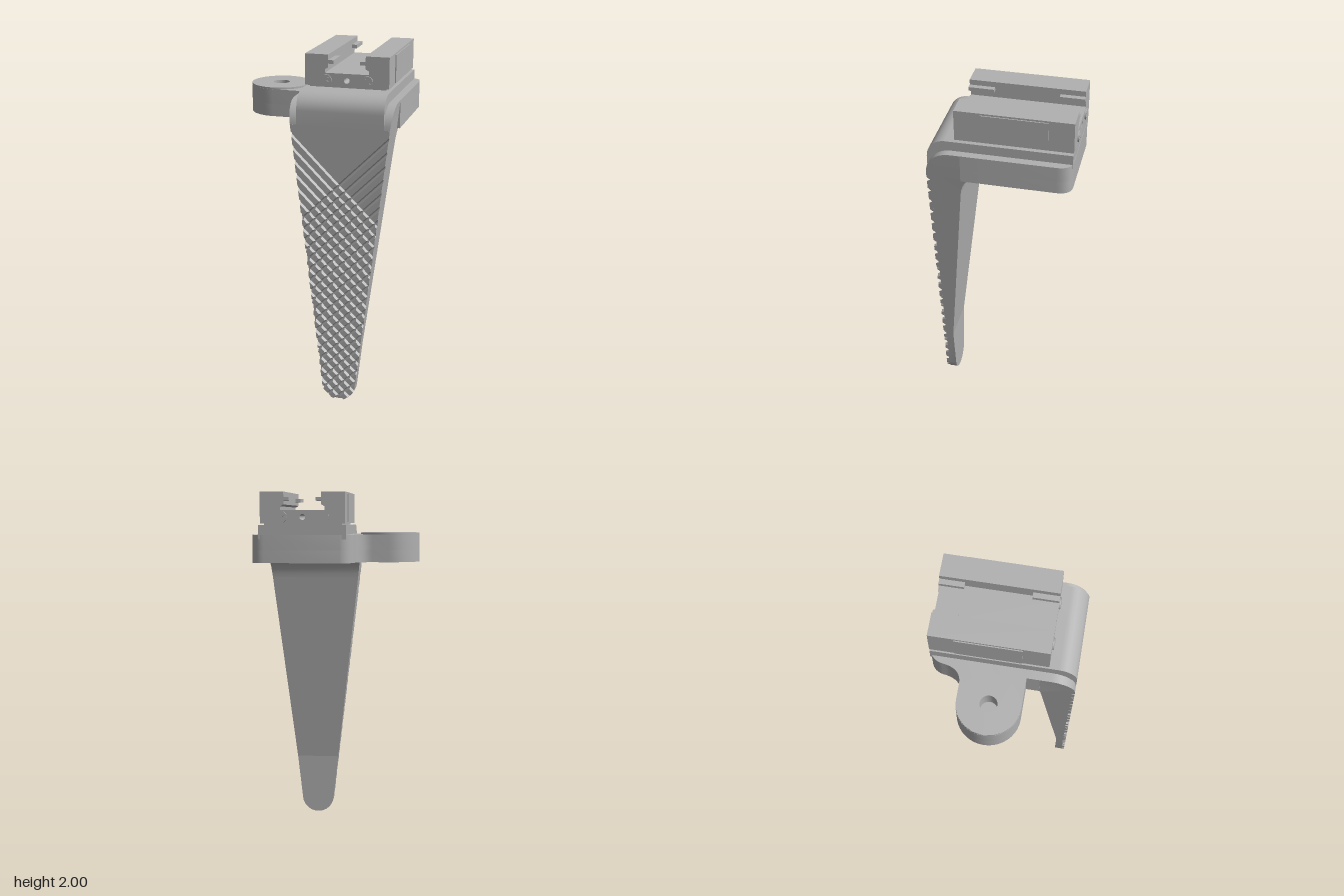
import * as THREE from 'three';
import { mergeGeometries, toCreasedNormals } from 'three/addons/utils/BufferGeometryUtils.js';
import { ConvexGeometry } from 'three/addons/geometries/ConvexGeometry.js';

const CX = 0.175; // centre line of the leg and rail
const grey = new THREE.MeshStandardMaterial({ color: 0xb0b0b0 });
grey.name = 'grey';

const half = (y) => Math.min(0.29, 0.095 + (y - 0.07) * 0.116); // taper of the leg
const shapeOf = (pts) => new THREE.Shape(pts.map(([x, y]) => new THREE.Vector2(x, y)));
const circle = (x, y, r) => new THREE.Path().absarc(x, y, r, 0, Math.PI * 2, true);
const extrude = (shape, depth) =>
  new THREE.ExtrudeGeometry(shape, { depth, bevelEnabled: false, curveSegments: 10 });

// Side profile given as [z, y], swept across x
const sideSweep = (pts, x0, x1) =>
  extrude(shapeOf(pts.map(([z, y]) => [-z, y])), x1 - x0).rotateY(Math.PI / 2).translate(x0, 0, 0);
// Plan shape drawn as (x, -z), raised from y0 to y1
const planSlab = (shape, y0, y1) => extrude(shape, y1 - y0).rotateX(-Math.PI / 2).translate(0, y0, 0);

function reshape(geometry, rule) {
  const p = geometry.attributes.position;
  for (let i = 0; i < p.count; i++) p.setXYZ(i, ...rule(p.getX(i), p.getY(i), p.getZ(i)));
  return geometry;
}

// Quarter round from the front face to a flat top, as [z, y]
function frontRound(z, y, r) {
  return Array.from({ length: 9 }, (_, i) => {
    const a = (i / 8) * Math.PI / 2;
    return [z - r + r * Math.cos(a), y - r + r * Math.sin(a)];
  });
}

// Symmetric front outline of the leg from its right-hand edge points
const mirrored = (right) => [
  ...right.map(([h, y]) => [CX + h, y]),
  ...right.slice().reverse().filter(([h]) => h > 0).map(([h, y]) => [CX - h, y]),
];
const tip = Array.from({ length: 9 }, (_, i) => {
  const t = (i / 8) * 1.455;
  return [0.098 * Math.sin(t), 0.098 * (1 - Math.cos(t))];
});

// Keep the part of a convex polygon where f >= 0
function clip(poly, f) {
  const out = [];
  poly.forEach((a, i) => {
    const b = poly[(i + 1) % poly.length], fa = f(a), fb = f(b);
    if (fa >= 0) out.push(a);
    if (fa * fb < 0) {
      const t = fa / (fa - fb);
      out.push([a[0] + (b[0] - a[0]) * t, a[1] + (b[1] - a[1]) * t]);
    }
  });
  return out;
}
const area = (p) => Math.abs(p.reduce((s, a, i) => {
  const b = p[(i + 1) % p.length];
  return s + a[0] * b[1] - a[1] * b[0];
}, 0)) / 2;

// Raised pads between two crossing sets of diagonal V grooves
function gripPads() {
  const outline = mirrored([...tip, [half(1.64), 1.64]]);
  const pitch = 0.068, pads = [];
  const cell = (i, j, gap) => {
    let poly = outline;
    [[i, 1], [j, -1]].forEach(([k, dir]) => {
      const f = ([x, y]) => y - 1.315 + dir * (x - CX);
      poly = clip(poly, (p) => f(p) + k * pitch - gap);
      if (k > 0) poly = clip(poly, (p) => -f(p) - (k - 1) * pitch - gap);
    });
    return poly;
  };
  for (let i = 0; i < 24; i++) {
    for (let j = 0; j < 24; j++) {
      const top = cell(i, j, 0.013);
      if (top.length < 3 || area(top) < 1e-4) continue;
      const base = cell(i, j, 0.002);
      pads.push(new ConvexGeometry([
        ...base.map(([x, y]) => new THREE.Vector3(x, y, 0.372)),
        ...top.map(([x, y]) => new THREE.Vector3(x, y, 0.391)),
      ]));
    }
  }
  return mergeGeometries(pads);
}

// Plan of the deck with its round side lobe
function deckShape() {
  const s = new THREE.Shape();
  s.moveTo(-0.115, -0.2);
  s.lineTo(0.465, -0.2);
  s.lineTo(0.465, 0.31);
  s.quadraticCurveTo(0.465, 0.39, 0.39, 0.39);
  s.lineTo(-0.03, 0.39);
  s.quadraticCurveTo(-0.09, 0.38, -0.102, 0.32);
  s.quadraticCurveTo(-0.115, 0.21, -0.2, 0.21);
  s.lineTo(-0.29, 0.21);
  s.absarc(-0.29, 0.04, 0.17, Math.PI / 2, Math.PI * 1.5, false);
  s.lineTo(-0.115, -0.13);
  return s;
}

export function createModel() {
  const model = new THREE.Group();
  const add = (name, geometry, smooth = true) => {
    const mesh = new THREE.Mesh(smooth ? toCreasedNormals(geometry, 0.5) : geometry, grey);
    mesh.name = name;
    model.add(mesh);
    return mesh;
  };
  const box = (name, x0, x1, y0, y1, z0, z1) => add(name, new THREE.BoxGeometry(x1 - x0, y1 - y0, z1 - z0)
    .translate((x0 + x1) / 2, (y0 + y1) / 2, (z0 + z1) / 2));

  // Leg: thin rounded tip, then a part that thickens upward
  const backZ = (y) => 0.33 - 0.12 * Math.max(0, (y - 0.36) / 1.14);
  const legPart = (right) => reshape(extrude(shapeOf(mirrored(right)), 1),
    (x, y, z) => [x, y, z > 0.5 ? 0.374 : backZ(y)]);
  add('legTip', legPart([...tip, [half(0.36), 0.36]]));
  add('legUpper', legPart([[half(0.36), 0.36], [half(1.5), 1.5]]));
  add('gripPads', gripPads(), false);

  // Bend joining leg and deck, filleted inside and rounded outside
  const fillet = new THREE.QuadraticBezierCurve(new THREE.Vector2(0.13, 1.61),
    new THREE.Vector2(0.2, 1.61), new THREE.Vector2(0.21, 1.5)).getPoints(8).map((p) => [p.x, p.y]);
  const bend = sideSweep([[0.374, 1.5], [0.374, 1.635], ...frontRound(0.39, 1.765, 0.13),
    [0.13, 1.765], ...fillet], 0, 1);
  add('bend', reshape(bend, (x, y, z) => [CX + (x > 0.5 ? 1 : -1) * half(y), y, z]));

  // Deck: lower layer has four blind screw holes, upper layer the lobe hole
  const lower = deckShape(), upper = deckShape();
  for (const x of [-0.01, 0.36]) for (const z of [-0.15, 0.06]) lower.holes.push(circle(x, -z, 0.05));
  upper.holes.push(circle(-0.29, 0.04, 0.047));
  add('deckLower', planSlab(lower, 1.61, 1.68));
  add('deckUpper', planSlab(upper, 1.68, 1.765));

  // Round boss on the lobe
  const boss = new THREE.Shape().absarc(-0.29, 0.04, 0.17, 0, Math.PI * 2, false);
  boss.holes.push(circle(-0.29, 0.04, 0.047));
  add('lobeBoss', planSlab(boss, 1.765, 1.775));

  // Raised strip running over the deck and down the front
  add('raisedStrip', sideSweep([[0.391, 1.62], ...frontRound(0.391, 1.818, 0.1),
    [-0.388, 1.818], [-0.388, 1.74], [0.26, 1.74], [0.32, 1.62]], -0.065, 0.42));

  // Rail clamp: U-shaped block on a thin spacer
  box('railSpacer', -0.04, 0.39, 1.81, 1.835, -0.37, 0.22);
  const wall = [[0.235, 1.828], [0.235, 2], [0.104, 2], [0.104, 1.93], [0.122, 1.92], [0.122, 1.9]];
  const rail = shapeOf(mirrored(wall));
  rail.holes.push(circle(CX, 1.862, 0.016));
  add('railBlock', extrude(rail, 0.63).translate(0, 0, -0.39));
  for (const side of [-1, 1]) {
    const span = (a, b) => [CX + side * a, CX + side * b].sort((p, q) => p - q);
    box('railSidePlate', ...span(0.23, 0.241), 1.835, 1.99, -0.255, 0.1);
    for (const [z0, z1] of [[-0.39, -0.255], [0.1, 0.24]]) {
      box('railLip', ...span(0.074, 0.11), 1.95, 1.97, z0, z1);
    }
    // Cross-head screws at both ends
    for (const [z, dir] of [[0.24, 1], [-0.39, -1]]) {
      const x = CX + side * 0.116, y = 1.862, face = z + dir * 0.008;
      add('screw', new THREE.CylinderGeometry(0.031, 0.031, 0.016, 20).rotateX(Math.PI / 2).translate(x, y, z));
      for (const turn of [1, -1]) {
        add('screwCross', new THREE.BoxGeometry(0.04, 0.008, 0.004)
          .rotateZ(turn * Math.PI / 4).translate(x, y, face));
      }
    }
  }
  return model;
}
